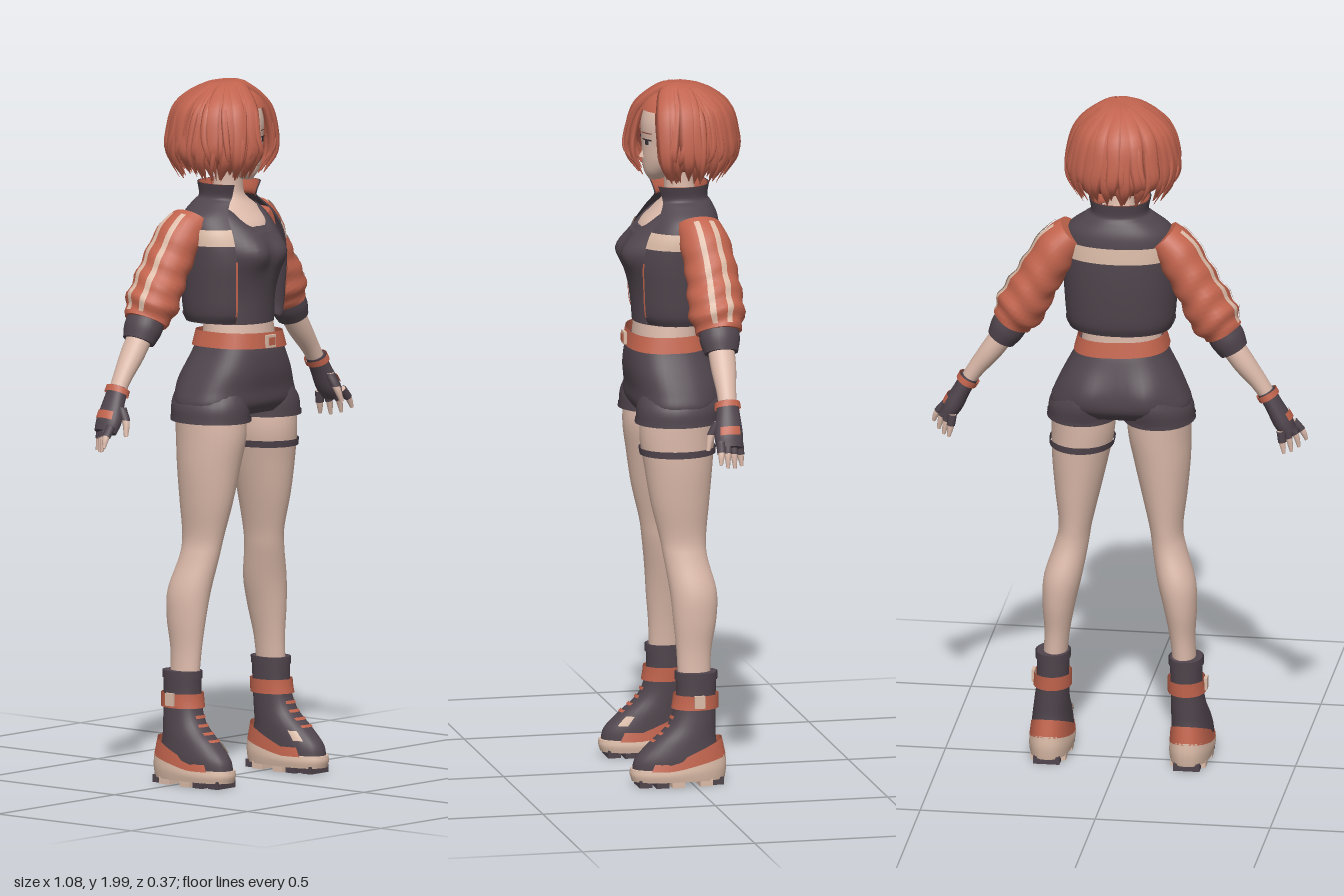
import * as THREE from 'three';
import { mergeGeometries } from 'three/addons/utils/BufferGeometryUtils.js';

const V = THREE.Vector3, TAU = Math.PI * 2, FRONT = Math.PI / 2;
const paint = (name, color) => {
  const m = new THREE.MeshStandardMaterial({ color, side: THREE.DoubleSide });
  m.name = name;
  return m;
};

// Smooth skin over rings [x, y, z, radiusX, radiusZ]; t and angle ranges cut out patches of it.
function loft(rings, o = {}) {
  const { n = 28, t0 = 0, t1 = rings.length - 1, a0 = 0, a1 = TAU, grow = 0, pow = 2,
    follow = false, axis, cap = false, fn, puff } = o;
  const last = rings.length - 1;
  const curve = f => new THREE.CatmullRomCurve3(rings.map(f), false, 'catmullrom', 0.5);
  const mid = curve(r => new V(r[0], r[1], r[2])), rad = curve(r => new V(r[3], r[4], 0));
  const steps = Math.max(2, Math.ceil((t1 - t0) * 5));
  const closed = a1 - a0 > TAU - 1e-3, cols = closed ? n : n + 1;
  const up = new V(0, Math.sign(rings[last][1] - rings[0][1]), 0);
  const soft = c => Math.sign(c) * Math.abs(c) ** (2 / pow);
  const rows = [];
  for (let i = 0; i <= steps; i++) {
    const t = t0 + (t1 - t0) * i / steps, c = mid.getPoint(t / last), r = rad.getPoint(t / last);
    const v = axis ? axis(c) : new V(0, 0, 1);
    const u = (follow ? mid.getTangent(t / last) : up.clone()).cross(v).normalize();
    const row = [];
    for (let j = 0; j < cols; j++) {
      const a = a0 + (a1 - a0) * j / n, g = grow + (puff ? puff(t, a) : 0);
      const p = c.clone().addScaledVector(u, soft(Math.cos(a)) * (Math.max(r.x, 0.0005) + g))
        .addScaledVector(v, soft(Math.sin(a)) * (Math.max(r.y, 0.0005) + g));
      if (fn) fn(p);
      row.push(p);
    }
    rows.push(row);
  }
  if (cap) {
    const hub = row => {
      const c = row.reduce((s, p) => s.add(p), new V()).divideScalar(row.length);
      return row.map(() => c);
    };
    const a = rows[0], b = rows[rows.length - 1];
    rows.unshift(hub(a), a);
    rows.push(b, hub(b));
  }
  const index = [];
  for (let i = 0; i < rows.length - 1; i++) for (let j = 0; j < n; j++) {
    const k = closed ? (j + 1) % n : j + 1, a = i * cols + j, b = a + cols, c = i * cols + k, d = c + cols;
    index.push(a, b, c, b, d, c);
  }
  const g = new THREE.BufferGeometry().setFromPoints(rows.flat());
  g.setIndex(index);
  g.computeVertexNormals();
  return g;
}

function mirror(geo) {
  const g = geo.clone().scale(-1, 1, 1), ix = g.index.array;
  for (let i = 0; i < ix.length; i += 3) [ix[i], ix[i + 1]] = [ix[i + 1], ix[i]];
  return g;
}

export function createModel() {
  const model = new THREE.Group();
  model.name = 'woman';
  const skin = paint('skin', 0xdcbaaa), dark = paint('charcoal cloth', 0x50454d), orange = paint('orange cloth', 0xc2644d);
  const hair = paint('red hair', 0xc2644f), shade = paint('deep red hair', 0x8c4437), cream = paint('cream', 0xdcbca8);
  const black = paint('near black', 0x3a3137), white = paint('eye white', 0xd8c6be);
  const add = (name, geo, mat) => {
    const m = new THREE.Mesh(geo, mat);
    m.name = name;
    model.add(m);
  };
  const pair = (name, geo, mat) => {
    add('left ' + name, geo, mat);
    add('right ' + name, mirror(geo), mat);
  };
  const box = (w, h, d, x, y, z) => new THREE.BoxGeometry(w, h, d).translate(x, y, z);
  let seed = 7;
  const rnd = () => (seed = (seed * 16807) % 2147483647) / 2147483647 - 0.5;

  // Head and face
  const head = [[0, 1.712, 0.06, 0.014, 0.018], [0, 1.735, 0.047, 0.04, 0.045], [0, 1.77, 0.025, 0.066, 0.072],
    [0, 1.82, 0.01, 0.079, 0.088], [0, 1.88, 0, 0.085, 0.1], [0, 1.93, -0.005, 0.07, 0.085], [0, 1.96, -0.01, 0.03, 0.04]];
  const face = (name, t0, t1, a, b, mat, grow) =>
    pair(name, loft(head, { t0, t1, a0: FRONT - b, a1: FRONT - a, grow, n: 6 }), mat);
  add('head', loft(head, { cap: true }), skin);
  add('nose', new THREE.ConeGeometry(0.01, 0.035, 8).rotateX(-0.25).translate(0, 1.793, 0.094), skin);
  face('eye', 2.95, 3.2, 0.22, 0.6, white, 0.001);
  face('iris', 2.95, 3.2, 0.32, 0.5, black, 0.002);
  face('upper lash', 3.18, 3.25, 0.18, 0.66, black, 0.003);
  face('eyebrow', 3.5, 3.55, 0.17, 0.64, shade, 0.002);
  face('lip', 1.54, 1.59, 0, 0.17, shade, 0.001);
  add('neck and chest', loft([[0, 1.52, 0.02, 0.11, 0.1], [0, 1.58, 0.01, 0.115, 0.098], [0, 1.625, -0.005, 0.095, 0.072],
    [0, 1.66, -0.012, 0.052, 0.05], [0, 1.7, -0.008, 0.041, 0.042], [0, 1.76, 0, 0.041, 0.042]]), skin);

  // Hair: inner shell, then messy locks swept aside from the parting, fuller over the right brow
  const shell = [[-0.01, 1.745, -0.04, 0.1, 0.09], [-0.01, 1.79, -0.03, 0.136, 0.123], [-0.01, 1.85, -0.022, 0.142, 0.136],
    [-0.005, 1.915, -0.016, 0.116, 0.116], [0, 1.955, -0.008, 0.075, 0.078], [0.01, 1.98, 0, 0.02, 0.02]];
  add('hair under layer', loft(shell, { t1: 3, a0: FRONT + 0.3, a1: FRONT - 1 + TAU }), shade);
  add('hair crown', loft(shell, { t0: 3, cap: true }), hair);
  const core = new V(-0.01, 1.845, -0.022), part = new V(0.022, 1.985, 0.02);
  const out = [0.1, 0.5, 0.81, 0.98, 1, 0.8], high = [0.143, 0.122, 0.074, 0, -0.062, -0.115];
  const wide = [0.01, 0.022, 0.027, 0.025, 0.018, 0.001], thick = [0.005, 0.009, 0.012, 0.011, 0.009, 0.001];
  const lock = (phi, size, extra, slim = 1) => {
    const inFace = phi > -0.2 && phi < 0.95, sway = rnd() * 0.3;
    const goal = !inFace ? phi : phi < 0.25 ? -0.2 + (phi - 0.25) * 0.7 : 0.97 + (phi - 0.25) * 0.3;
    const full = size * (1 + 0.07 * Math.exp(-(((goal + 0.45) / 0.4) ** 2)));
    const rings = out.map((r, k) => {
      const f = phi + (goal - phi) * Math.min(1, k / 2.4) + rnd() * 0.08 + sway * Math.max(0, k - 3) / 2;
      const p = new V(core.x + Math.sin(f) * r * 0.152 * full, core.y + high[k] - (k > 3 ? extra * (k - 3) / 2 : 0),
        core.z + Math.cos(f) * r * 0.148 * full);
      p.lerp(part, [0.75, 0.2, 0, 0, 0, 0][k]);
      return [p.x, p.y, p.z, wide[k] * slim, thick[k] * slim];
    });
    return loft(rings, { n: 6, follow: true, axis: p => p.clone().sub(core).normalize() });
  };
  const locks = [];
  for (let i = 0; i < 36; i++) locks.push(lock(i / 36 * TAU - Math.PI + rnd() * 0.1, 1 + rnd() * 0.09, rnd() * 0.035));
  for (let i = 0; i < 28; i++) locks.push(lock(i / 28 * TAU - Math.PI + rnd() * 0.2, 0.92 + rnd() * 0.07, 0.008 + rnd() * 0.02));
  for (let i = 0; i < 30; i++) locks.push(lock(i / 30 * TAU - Math.PI + rnd() * 0.3, 1.06 + rnd() * 0.08, rnd() * 0.05, 0.4));
  add('hair locks', mergeGeometries(locks), hair);

  // Tank top with bust and round neckline, bare waist
  const bust = p => {
    if (p.z < 0.02) return;
    p.z += 0.026 * Math.exp(-(((Math.abs(p.x) - 0.052) / 0.045) ** 2) - ((p.y - 1.51) / 0.05) ** 2);
    const drop = 0.06 * Math.exp(-((p.x / 0.055) ** 4)) * THREE.MathUtils.smoothstep(p.y, 1.55, 1.64);
    p.y -= drop;
    p.z += drop * 0.8;
  };
  add('tank top', loft([[0, 1.305, 0.027, 0.108, 0.098], [0, 1.38, 0.028, 0.106, 0.104], [0, 1.45, 0.03, 0.118, 0.114],
    [0, 1.51, 0.028, 0.13, 0.12], [0, 1.57, 0.014, 0.124, 0.108], [0, 1.61, 0.002, 0.112, 0.088], [0, 1.642, -0.008, 0.082, 0.066]],
  { fn: bust, n: 48 }), dark);
  add('waist', loft([[0, 1.2, 0.03, 0.122, 0.1], [0, 1.27, 0.03, 0.112, 0.095], [0, 1.34, 0.027, 0.102, 0.09]]), skin);

  // Cropped open jacket with cream band, zip edges and collar
  const coat = [[0, 1.31, 0.008, 0.142, 0.11], [0, 1.34, 0.01, 0.154, 0.124], [0, 1.41, 0.01, 0.16, 0.13], [0, 1.49, 0.01, 0.165, 0.132],
    [0, 1.56, 0.003, 0.165, 0.122], [0, 1.61, -0.01, 0.148, 0.103], [0, 1.645, -0.014, 0.104, 0.084], [0, 1.662, -0.011, 0.082, 0.077],
    [0, 1.7, -0.006, 0.088, 0.087]];
  const open = { a0: FRONT + 0.66, a1: FRONT - 0.66 + TAU, pow: 2.2, n: 48 };
  add('jacket', loft(coat, open), dark);
  add('jacket band', loft(coat, { ...open, t0: 3.6, t1: 4.35, grow: 0.004 }), cream);
  add('jacket hem', loft(coat, { ...open, t1: 0.8, grow: 0.004 }), dark);
  pair('zip edge', loft(coat, { ...open, a0: FRONT - 0.69, a1: FRONT - 0.65, n: 2, t1: 3, grow: 0.003 }), orange);
  add('collar lining', loft(coat, { ...open, t0: 6.6, t1: 8, grow: -0.004 }), orange);

  // Sleeves with folds and twin stripes, cuffs, forearms
  const sleeve = [[0.128, 1.597, -0.035, 0.05, 0.064], [0.168, 1.556, -0.045, 0.062, 0.072], [0.208, 1.492, -0.053, 0.063, 0.074],
    [0.243, 1.43, -0.056, 0.066, 0.077], [0.276, 1.37, -0.056, 0.071, 0.079], [0.302, 1.325, -0.056, 0.055, 0.062]];
  const fold = { follow: true, puff: (t, a) => 0.004 * Math.sin(t * 6.5 + Math.sin(a * 2) * 1.5) * Math.min(1, t / 3) };
  pair('sleeve', loft(sleeve, { ...fold, cap: true }), orange);
  for (const a of [Math.PI - 0.42, Math.PI + 0.2])
    pair('sleeve stripe', loft(sleeve, { ...fold, a0: a, a1: a + 0.22, n: 4, t0: 0.4, t1: 4.8, grow: 0.004 }), cream);
  pair('cuff', loft([[0.298, 1.332, -0.056, 0.05, 0.057], [0.315, 1.303, -0.056, 0.05, 0.057], [0.332, 1.272, -0.056, 0.042, 0.048]],
    { follow: true, cap: true }), dark);
  pair('forearm', loft([[0.315, 1.3, -0.056, 0.034, 0.038], [0.36, 1.235, -0.056, 0.032, 0.036], [0.405, 1.175, -0.054, 0.025, 0.028],
    [0.44, 1.12, -0.052, 0.021, 0.025]], { follow: true }), skin);

  // Fingerless gloves and hands
  const palm = [[0.423, 1.15, -0.052, 0.026, 0.03], [0.445, 1.11, -0.05, 0.025, 0.035], [0.47, 1.062, -0.046, 0.028, 0.041],
    [0.488, 1.03, -0.045, 0.022, 0.037]];
  pair('glove', loft(palm, { follow: true, cap: true }), dark);
  pair('glove strap', loft(palm, { follow: true, t0: 0.05, t1: 0.45, grow: 0.006 }), orange);
  pair('knuckle patch', loft(palm, { follow: true, t0: 1.6, t1: 2.1, a0: Math.PI - 0.7, a1: Math.PI + 0.7, grow: 0.004 }), orange);
  const fingers = [[[0.447, 1.1, -0.02, 0.012, 0.013], [0.453, 1.06, 0.002, 0.011, 0.011], [0.464, 1.02, 0.012, 0.006, 0.006]]];
  for (let k = -1.5; k < 2; k++) fingers.push([[0.483 + 0.009 * k, 1.045 + 0.003 * k, -0.046 + 0.02 * k, 0.011, 0.011],
    [0.498 + 0.016 * k, 1.012 + 0.005 * k, -0.046 + 0.022 * k, 0.0095, 0.0095],
    [0.506 + 0.018 * k, 0.972 + 0.008 * Math.abs(k) + 0.006 * k, -0.046 + 0.024 * k, 0.005, 0.005]]);
  for (const f of fingers) {
    pair('finger', loft(f, { n: 8, follow: true, cap: true }), skin);
    pair('glove finger', loft(f, { n: 8, follow: true, t1: 0.9, grow: 0.002 }), dark);
  }

  // Shorts and belt
  const seat = p => {
    if (p.z < 0) p.z -= 0.02 * Math.exp(-(((Math.abs(p.x) - 0.085) / 0.06) ** 2) - ((p.y - 1.12) / 0.06) ** 2);
  };
  const hips = [[0, 1.255, 0.032, 0.12, 0.102], [0, 1.22, 0.03, 0.136, 0.113], [0, 1.17, 0.025, 0.163, 0.121],
    [0, 1.12, 0.018, 0.187, 0.122], [0, 1.08, 0.017, 0.2, 0.121], [0, 1.05, 0.018, 0.18, 0.1]];
  add('shorts', loft(hips, { fn: seat, cap: true, n: 48, pow: 2.5 }), dark);
  const shortLeg = [[0.1, 1.13, 0.018, 0.06, 0.1], [0.106, 1.08, 0.018, 0.096, 0.118], [0.108, 1.03, 0.02, 0.101, 0.119]];
  pair('shorts leg', loft(shortLeg, { fn: seat }), dark);
  pair('shorts hem', loft(shortLeg, { t0: 1.75, t1: 2, grow: 0.003 }), dark);
  add('belt', loft([[0, 1.236, 0.032, 0.136, 0.117], [0, 1.28, 0.032, 0.124, 0.108]],
    { pow: 2.5, fn: p => { p.y -= p.x * 0.04; } }), orange);
  add('belt buckle', box(0.036, 0.036, 0.009, 0, 1.256, 0.15), cream);
  add('buckle centre', box(0.024, 0.022, 0.009, 0, 1.256, 0.153), orange);

  // Legs and thigh strap
  const leg = [[0.11, 1.08, 0.016, 0.09, 0.106], [0.109, 0.99, 0.022, 0.09, 0.107], [0.117, 0.9, 0.02, 0.08, 0.097],
    [0.124, 0.8, 0.017, 0.064, 0.084], [0.13, 0.7, 0.01, 0.047, 0.067], [0.14, 0.64, 0.004, 0.048, 0.063],
    [0.162, 0.55, -0.013, 0.054, 0.067], [0.173, 0.47, -0.015, 0.047, 0.062], [0.179, 0.38, -0.011, 0.036, 0.05], [0.186, 0.29, -0.01, 0.033, 0.046]];
  pair('leg', loft(leg), skin);
  add('thigh strap', loft(leg, { t0: 1.34, t1: 1.56, grow: 0.006 }), dark);

  // Boots
  const boot = [[0.19, 0.322, -0.015, 0.046, 0.058], [0.191, 0.24, -0.013, 0.045, 0.057], [0.195, 0.175, -0.002, 0.049, 0.067],
    [0.198, 0.125, 0.024, 0.054, 0.095], [0.2, 0.08, 0.038, 0.057, 0.125], [0.2, 0.04, 0.04, 0.058, 0.134]];
  pair('boot', loft(boot, { cap: true, pow: 2.2 }), dark);
  pair('boot rim', loft(boot, { t1: 0.25, grow: 0.004 }), dark);
  pair('ankle strap', loft(boot, { t0: 0.75, t1: 1.3, grow: 0.009 }), orange);
  pair('ankle buckle', box(0.009, 0.036, 0.03, 0.246, 0.243, -0.013), cream);
  for (const t of [1.6, 2.0, 2.4, 2.8])
    pair('lace', loft(boot, { t0: t, t1: t + 0.14, a0: FRONT - 0.36, a1: FRONT + 0.36, n: 8, grow: 0.005, pow: 2.2 }), orange);
  pair('side patch', loft(boot, { t0: 3.1, t1: 3.7, a0: FRONT - 1.0, a1: FRONT - 0.68, n: 6, grow: 0.005, pow: 2.2 }), cream);
  const lift = p => { if (p.y > 0.019) p.y = 0.019 + (p.y - 0.019) * (1 + 1.2 * Math.max(0, (0.06 - p.z) / 0.16)); };
  pair('sole', loft([[0.2, 0.016, 0.04, 0.059, 0.134], [0.2, 0.034, 0.04, 0.062, 0.139], [0.2, 0.05, 0.04, 0.06, 0.137]],
    { cap: true, pow: 2.4, fn: lift }), cream);
  pair('heel band', loft([[0.2, 0.048, 0.04, 0.061, 0.137], [0.199, 0.074, 0.036, 0.057, 0.122]],
    { a0: FRONT + 0.95, a1: FRONT - 0.95 + TAU, pow: 2.4, fn: lift }), orange);
  for (const [z, w, mat] of [[-0.068, 0.075, dark], [-0.032, 0.1, cream], [0.05, 0.114, cream], [0.095, 0.106, dark], [0.141, 0.078, dark]])
    pair('tread', box(w, 0.022, 0.036, 0.2, 0.011, z), mat);
  return model;
}
